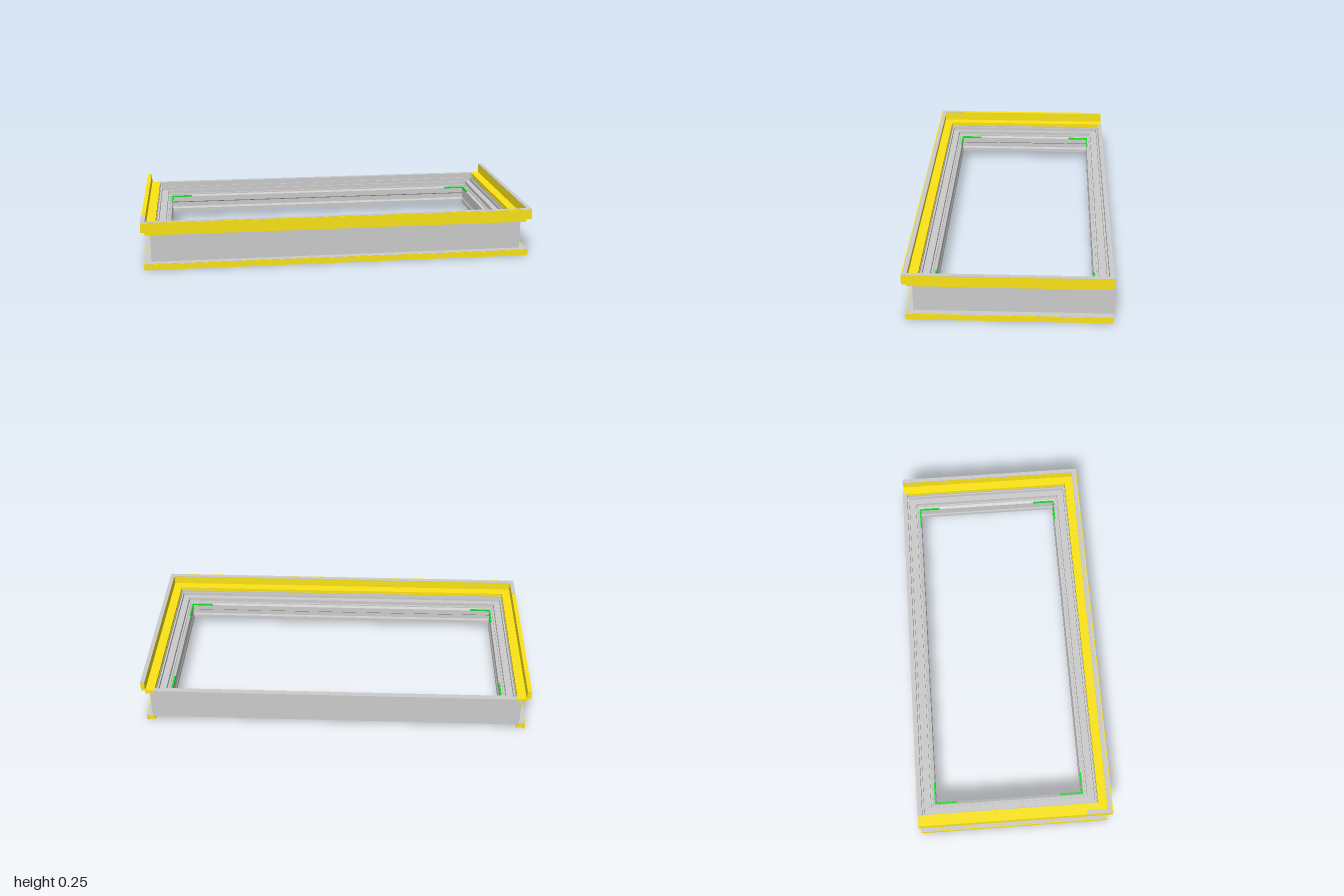
import * as THREE from 'three';

const HX = 0.955, FRONT = 0.46, BACK = -0.5, TRIM_END = -0.495;
const grey = new THREE.MeshStandardMaterial({ color: 0xcccccc, side: THREE.DoubleSide });
const yellow = new THREE.MeshStandardMaterial({ color: 0xfbe415, side: THREE.DoubleSide });
const green = new THREE.MeshStandardMaterial({ color: 0x10e020 });

// Sweeps a profile of [inset from the outer wall, height] around the rectangle.
// A closed sweep is a mitred ring; an open one is a U with capped rear ends.
function sweep(profile, closed) {
  const verts = [];
  const at = (i, [d, y]) => {
    const x = HX - d, zf = FRONT - d, zb = closed ? BACK + d : TRIM_END;
    return [[x, y, zb], [x, y, zf], [-x, y, zf], [-x, y, zb]][i % 4];
  };
  for (let i = 0; i < (closed ? 4 : 3); i++) {
    profile.forEach((p, j) => {
      const q = profile[(j + 1) % profile.length];
      const a = at(i, p), b = at(i, q), c = at(i + 1, q), e = at(i + 1, p);
      verts.push(...a, ...b, ...c, ...a, ...c, ...e);
    });
  }
  if (!closed) {
    const contour = profile.map(([d, y]) => new THREE.Vector2(-d, y));
    for (const [a, b, c] of THREE.ShapeUtils.triangulateShape(contour, [])) {
      verts.push(...at(0, profile[a]), ...at(0, profile[c]), ...at(0, profile[b]));
      verts.push(...at(3, profile[a]), ...at(3, profile[b]), ...at(3, profile[c]));
    }
  }
  const geo = new THREE.BufferGeometry();
  geo.setAttribute('position', new THREE.Float32BufferAttribute(verts, 3));
  geo.computeVertexNormals();
  return geo;
}

export function createModel() {
  const group = new THREE.Group();
  const add = (name, geo, mat) => {
    const mesh = new THREE.Mesh(geo, mat);
    mesh.name = name;
    group.add(mesh);
    return mesh;
  };
  const box = (name, mat, x0, x1, y0, y1, z0, z1) =>
    add(name, new THREE.BoxGeometry(x1 - x0, y1 - y0, z1 - z0), mat)
      .position.set((x0 + x1) / 2, (y0 + y1) / 2, (z0 + z1) / 2);

  // Main frame: outer wall, stepped inner ledges, beaded lower panel, stepped underside
  add('frameBody', sweep([
    [0, 0.03], [0, 0.181], [0.024, 0.181], [0.024, 0.168], [0.029, 0.168], [0.029, 0.174],
    [0.034, 0.174], [0.034, 0.155], [0.066, 0.155], [0.066, 0.163], [0.071, 0.163],
    [0.071, 0.142], [0.08, 0.142], [0.08, 0.136], [0.095, 0.13], [0.095, 0.1],
    [0.091, 0.095], [0.091, 0.07], [0.095, 0.06], [0.095, 0.04],
    [0.07, 0.04], [0.07, 0.034], [0.03, 0.034], [0.03, 0.03],
  ], true), grey);

  // Rear wall rises between the ends of the upper trim
  box('rearSill', grey, -0.935, 0.935, 0.18, 0.2, BACK, -0.476);

  // Upper trim: flat flange with a raised outer lip
  add('upperTrim', sweep([
    [-0.025, 0.18], [-0.025, 0.2], [-0.045, 0.2], [-0.045, 0.25],
    [-0.024, 0.25], [-0.024, 0.2], [0.022, 0.2], [0.022, 0.18],
  ], false), yellow);

  // Thin cap along the top of the lip
  const cap = [0.978, 1, 0.249, 0.252];
  box('lipCapLeft', grey, ...cap, TRIM_END, 0.5);
  box('lipCapFront', grey, -1, 0.978, 0.249, 0.252, 0.478, 0.5);
  box('lipCapRight', grey, -1, -0.978, 0.249, 0.252, 0.37, 0.478);

  // Lower trim: channel open to the ground
  add('lowerTrim', sweep([
    [-0.035, 0], [-0.035, 0.03], [0.01, 0.03], [0.01, 0.004],
    [-0.012, 0.004], [-0.012, 0.014], [-0.02, 0.014], [-0.02, 0],
  ], false), yellow);
  add('lowerTrimLedge', sweep([
    [-0.032, 0.03], [-0.032, 0.032], [0.001, 0.032], [0.001, 0.03],
  ], false), grey);

  // Green markers in the four inner corners
  for (const s of [-1, 1]) {
    const x = (a, b) => (s > 0 ? [a, b] : [-b, -a]);
    for (const [z0, z1, e0, e1] of [[-0.406, -0.295, -0.41, -0.403], [0.25, 0.366, 0.363, 0.37]]) {
      box('cornerMarkerSide', green, ...x(0.858, 0.866), 0.128, 0.136, z0, z1);
      box('cornerMarkerEnd', green, ...x(0.75, 0.862), 0.128, 0.136, e0, e1);
    }
  }
  return group;
}
